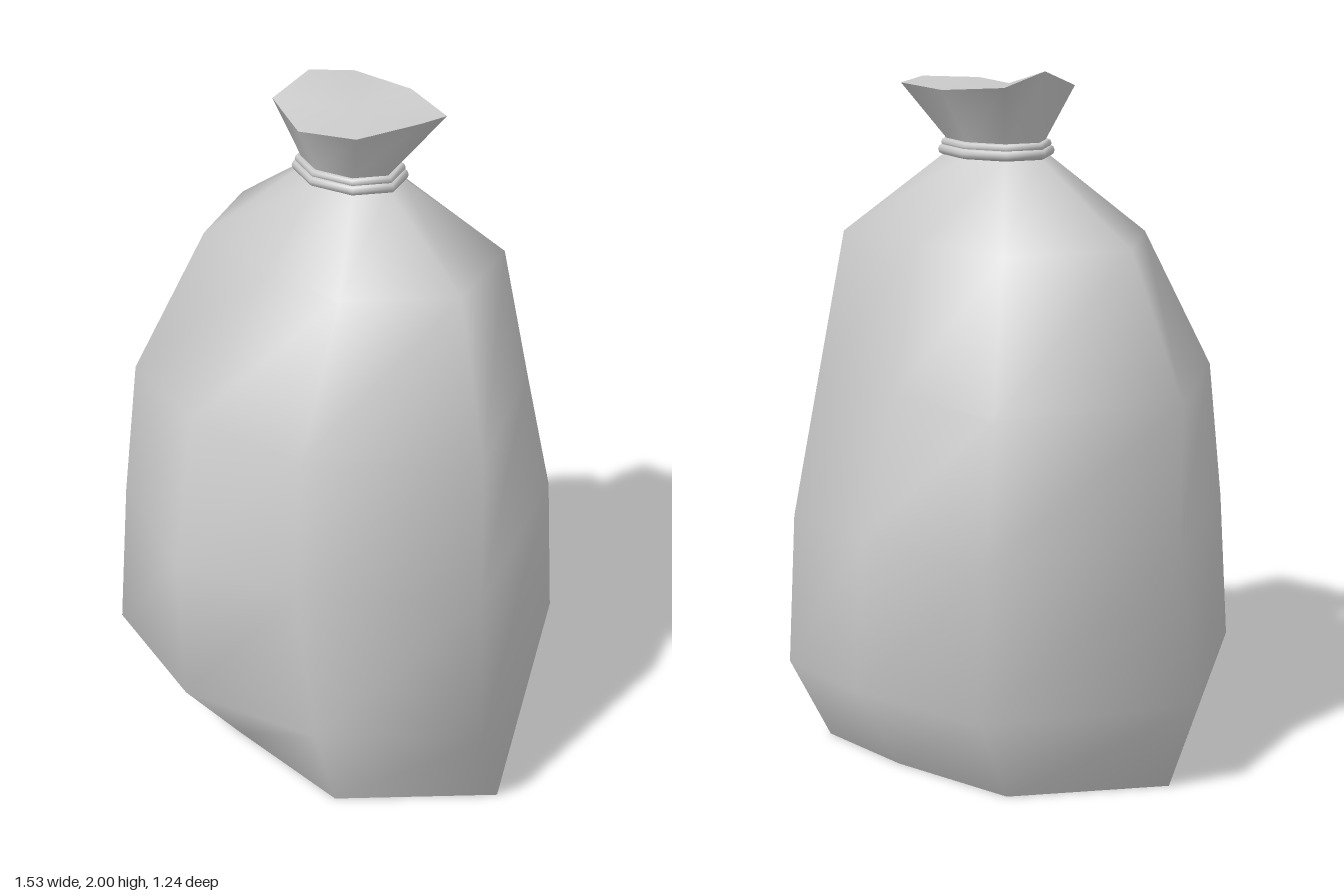
import * as THREE from 'three';

// Columns run left-to-right round the front: -x, -x+z, +z, +x+z, +x, +x-z, -z, -x-z.
// Each cross-section is a height followed by eight [x, z] corners.
const bodyRings = [
  { y: 0.0, p: [[-0.67, -0.05], [-0.38, 0.33], [-0.02, 0.37], [0.42, 0.36], [0.71, -0.02], [0.34, -0.42], [0.02, -0.45], [-0.38, -0.42]] },
  { y: 0.27, p: [[-0.77, -0.05], [-0.45, 0.5], [0.02, 0.6], [0.44, 0.45], [0.76, 0.1], [0.35, -0.57], [0.02, -0.62], [-0.43, -0.58]] },
  { y: 0.71, p: [[-0.69, -0.05], [-0.44, 0.47], [0.02, 0.62], [0.36, 0.45], [0.72, 0.08], [0.35, -0.54], [0.02, -0.59], [-0.42, -0.55]] },
  { y: 1.12, p: [[-0.69, -0.04], [-0.42, 0.43], [-0.04, 0.51], [0.34, 0.42], [0.68, 0.05], [0.35, -0.43], [0.0, -0.47], [-0.42, -0.52]] },
  { y: 1.53, p: [[-0.5, -0.04], [-0.32, 0.24], [0.01, 0.26], [0.3, 0.25], [0.49, -0.03], [0.33, -0.34], [0.02, -0.35], [-0.3, -0.35]] },
];

// Regular eight-sided ring round the gathered neck
function neckRing(y, rx, rz) {
  const p = [];
  for (let i = 0; i < 8; i++) {
    const a = Math.PI - (i * Math.PI) / 4;
    p.push([0.02 + rx * Math.cos(a), -0.025 + rz * Math.sin(a)]);
  }
  return { y, p };
}

const lift = (ring) => ring.p.map(([x, z]) => [x, ring.y, z]);

// Smooth skin through successive eight-point loops
function skin(loops) {
  const n = 8, index = [];
  for (let r = 0; r < loops.length - 1; r++) {
    for (let i = 0; i < n; i++) {
      const j = (i + 1) % n;
      const a = r * n + i, b = r * n + j, c = a + n, d = b + n;
      index.push(a, b, d, a, d, c);
    }
  }
  return indexed(loops.flat(), index);
}

// Fan from a centre point to a closed loop
function cap(loop, centre, up) {
  const index = [];
  for (let i = 0; i < loop.length; i++) {
    const a = i + 1, b = ((i + 1) % loop.length) + 1;
    index.push(0, ...(up ? [a, b] : [b, a]));
  }
  return indexed([centre, ...loop], index);
}

function indexed(points, index) {
  const g = new THREE.BufferGeometry();
  g.setAttribute('position', new THREE.Float32BufferAttribute(points.flat(), 3));
  g.setIndex(index);
  g.computeVertexNormals();
  return g;
}

export function createModel() {
  const group = new THREE.Group();
  const material = new THREE.MeshStandardMaterial({ color: 0xcccccc, side: THREE.DoubleSide });
  const add = (name, geometry) => {
    const mesh = new THREE.Mesh(geometry, material);
    mesh.name = name;
    group.add(mesh);
    return mesh;
  };

  // Slumped bag, narrowing to the neck
  const body = bodyRings.map(lift);
  body.push(lift(neckRing(1.75, 0.17, 0.13)));
  add('sackBody', skin(body));
  add('sackBase', cap(body[0], [0, 0, -0.03], false));

  // Cord tied round the neck: two stacked turns
  for (const [y, r, tube] of [[1.762, 0.174, 0.015], [1.782, 0.166, 0.013]]) {
    const cord = new THREE.TorusGeometry(r, tube, 8, 8);
    cord.rotateX(Math.PI / 2);
    cord.scale(1, 1, 0.77);
    cord.translate(0.02, y, -0.025);
    add('neckCord', cord);
  }

  // Flared, uneven mouth above the cord
  const rim = [
    [-0.18, 2.0, -0.04], [-0.17, 1.95, 0.1], [0.02, 1.92, 0.16], [0.22, 1.945, 0.12],
    [0.27, 1.96, -0.07], [0.25, 1.95, -0.18], [0.02, 1.95, -0.25], [-0.17, 1.965, -0.2],
  ];
  add('sackMouth', skin([lift(neckRing(1.75, 0.16, 0.12)), lift(neckRing(1.79, 0.16, 0.12)), rim]));
  add('mouthTop', cap(rim, [0.03, 1.935, -0.04], true));

  return group;
}
